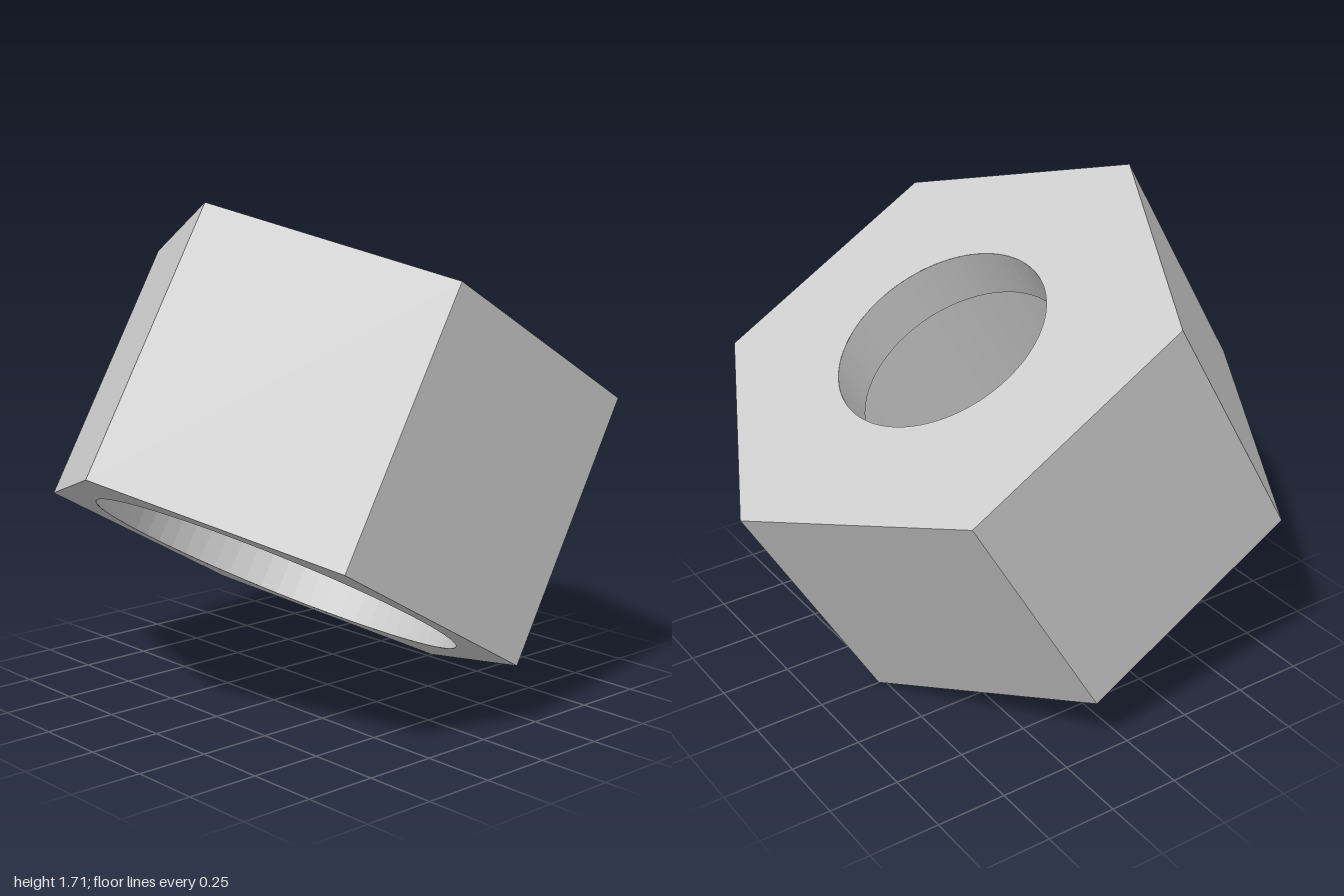
import * as THREE from 'three';

const HEX_R = 0.878;      // centre to corner
const HEIGHT = 0.956;
const SMALL_R = 0.376;    // through hole
const LARGE_R = 0.655;    // counterbore
const LIP = 0.191;        // thickness left above the counterbore
const SEGMENTS = 64;

const material = new THREE.MeshStandardMaterial({ color: 0xcccccc, flatShading: true });

function addMesh(parent, name, geometry) {
  const mesh = new THREE.Mesh(geometry, material);
  mesh.name = name;
  parent.add(mesh);
  return mesh;
}

// Hexagonal face with a round hole, corners on the z axis
function hexFace(holeRadius) {
  const corners = [];
  for (let i = 0; i < 6; i++) {
    const a = Math.PI / 2 + (i * Math.PI) / 3;
    corners.push(new THREE.Vector2(Math.cos(a) * HEX_R, Math.sin(a) * HEX_R));
  }
  const shape = new THREE.Shape(corners);
  shape.holes.push(new THREE.Path().absarc(0, 0, holeRadius, 0, Math.PI * 2, true));
  return new THREE.ShapeGeometry(shape, SEGMENTS);
}

export function createModel() {
  const model = new THREE.Group();
  model.name = 'hexNut';

  const nut = new THREE.Group();
  nut.name = 'tiltedNut';
  model.add(nut);

  const top = HEIGHT / 2;

  // Six outer flats
  addMesh(nut, 'outerFlats', new THREE.CylinderGeometry(HEX_R, HEX_R, HEIGHT, 6, 1, true));

  // End faces
  addMesh(nut, 'topFace', hexFace(SMALL_R).rotateX(-Math.PI / 2).translate(0, top, 0));
  addMesh(nut, 'bottomFace', hexFace(LARGE_R).rotateX(Math.PI / 2).translate(0, -top, 0));

  // Stepped bore: small hole, ledge, wide counterbore
  const profile = [
    [SMALL_R, top],
    [SMALL_R, top - LIP],
    [LARGE_R, top - LIP],
    [LARGE_R, -top],
  ].map(([r, y]) => new THREE.Vector2(r, y));
  addMesh(nut, 'steppedBore', new THREE.LatheGeometry(profile, SEGMENTS));

  // Lean back, resting on the rear bottom corner
  nut.rotation.x = -Math.PI / 6;
  nut.position.y = HEX_R * 0.5 + top * Math.cos(Math.PI / 6);

  return model;
}
